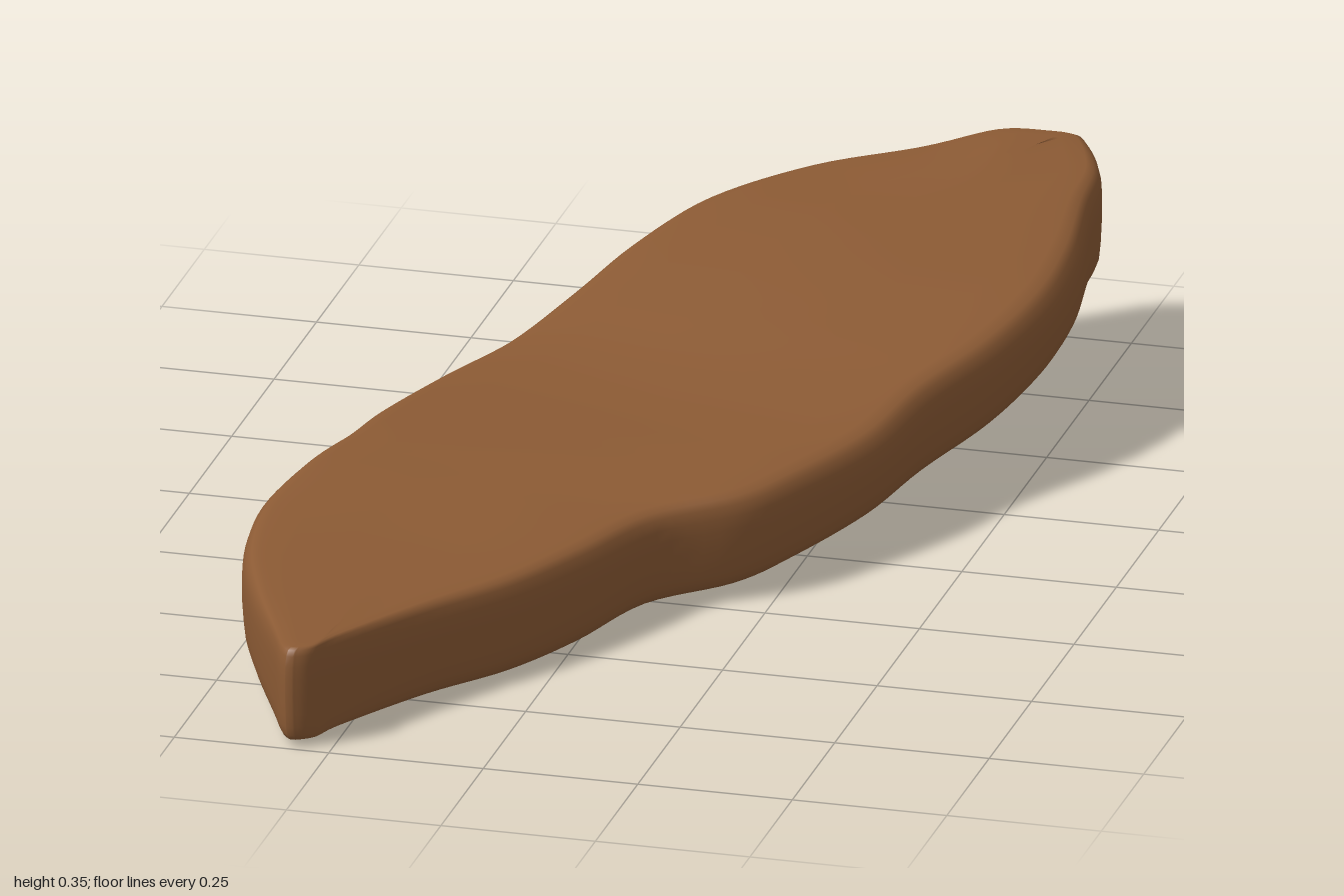
import * as THREE from 'three';
import { mergeVertices } from 'three/addons/utils/BufferGeometryUtils.js';

// Stations from back to front: z, edge x (right, left), top y (right, left), bottom y (right, left)
const stations = [
  [-1, 0.38, 0.4, 0.353, 0.353, 0.172, 0.172],
  [-0.985, 0.29, 0.435, 0.353, 0.351, 0.17, 0.17],
  [-0.9, 0.18, 0.48, 0.345, 0.34, 0.162, 0.165],
  [-0.8, 0.03, 0.49, 0.338, 0.325, 0.142, 0.158],
  [-0.65, -0.1, 0.51, 0.328, 0.305, 0.118, 0.148],
  [-0.5, -0.175, 0.507, 0.305, 0.285, 0.1, 0.135],
  [-0.35, -0.23, 0.465, 0.275, 0.258, 0.08, 0.105],
  [-0.2, -0.295, 0.395, 0.242, 0.23, 0.06, 0.075],
  [-0.05, -0.37, 0.35, 0.23, 0.202, 0.05, 0.055],
  [0.1, -0.42, 0.275, 0.228, 0.187, 0.04, 0.035],
  [0.2, -0.443, 0.21, 0.225, 0.177, 0.03, 0.025],
  [0.3, -0.48, 0.09, 0.215, 0.17, 0.025, 0.016],
  [0.45, -0.515, 0.02, 0.192, 0.166, 0.016, 0.004],
  [0.6, -0.5, -0.055, 0.176, 0.164, 0.014, 0.004],
  [0.75, -0.445, -0.155, 0.17, 0.166, 0.014, 0.011],
  [0.92, -0.365, -0.255, 0.17, 0.169, 0.014, 0.014],
  [0.98, -0.337, -0.283, 0.17, 0.17, 0.014, 0.014],
  [1, -0.32, -0.31, 0.17, 0.17, 0.014, 0.014],
];

// Rim section from top spine to bottom spine: reach to the edge, height (1 top, 0 bottom), y offset
const section = [
  [0, 1, 0], [0.35, 1, 0], [0.7, 1, 0], [0.88, 1, 0], [0.94, 1, -0.004],
  [0.975, 1, -0.013], [0.995, 1, -0.03], [1, 1, -0.05], [1, 0.5, 0], [0.99, 0, 0.045],
  [0.98, 0, 0.024], [0.955, 0, 0.01], [0.92, 0, 0.002], [0.86, 0, 0], [0.5, 0, 0], [0, 0, 0],
];

// Smooth interpolation of one station row
function stationAt(s) {
  const last = stations.length - 1;
  const i = Math.min(Math.floor(s), last - 1), f = s - i;
  const row = (k) => stations[Math.min(Math.max(k, 0), last)];
  return stations[0].map((_, c) => {
    const [a, b, d, e] = [row(i - 1)[c], row(i)[c], row(i + 1)[c], row(i + 2)[c]];
    return b + 0.5 * f * (d - a + f * (2 * a - 5 * b + 4 * d - e + f * (3 * (b - d) + e - a)));
  });
}

function slabGeometry() {
  const steps = 6, count = (stations.length - 1) * steps;
  const positions = [], index = [];

  // Walk down the right edge, then back up the left edge
  for (let n = 0; n < 2 * (count + 1); n++) {
    const side = n <= count ? 0 : 1;
    const k = side === 0 ? n : 2 * count + 1 - n;
    const r = stationAt(k / steps);
    const z = r[0], edge = r[1 + side];
    const spineX = (r[1] + r[2]) / 2 + 0.042 * z, spineZ = 0.88 * z;
    for (const [t, h, dy] of section) {
      const top = THREE.MathUtils.lerp((r[3] + r[4]) / 2, r[3 + side], t);
      const bottom = THREE.MathUtils.lerp((r[5] + r[6]) / 2, r[5 + side], t);
      positions.push(
        THREE.MathUtils.lerp(spineX, edge, t),
        THREE.MathUtils.lerp(bottom, top, h) + dy,
        THREE.MathUtils.lerp(spineZ, z, t),
      );
    }
  }

  const m = section.length, loops = 2 * (count + 1);
  for (let n = 0; n < loops; n++) {
    for (let j = 0; j < m - 1; j++) {
      const a = n * m + j, b = a + 1;
      const c = ((n + 1) % loops) * m + j, d = c + 1;
      index.push(a, b, c, b, d, c);
    }
  }

  const raw = new THREE.BufferGeometry();
  raw.setAttribute('position', new THREE.Float32BufferAttribute(positions, 3));
  raw.setIndex(index);
  const geometry = mergeVertices(raw, 1e-5);
  geometry.computeVertexNormals();
  return geometry;
}

export function createModel() {
  const group = new THREE.Group();
  const brown = new THREE.MeshStandardMaterial({ color: 0x8b5a34 });
  brown.name = 'earthBrown';

  // Leaf-shaped slab, rising toward the back
  const slab = new THREE.Mesh(slabGeometry(), brown);
  slab.name = 'slab';
  group.add(slab);
  return group;
}
